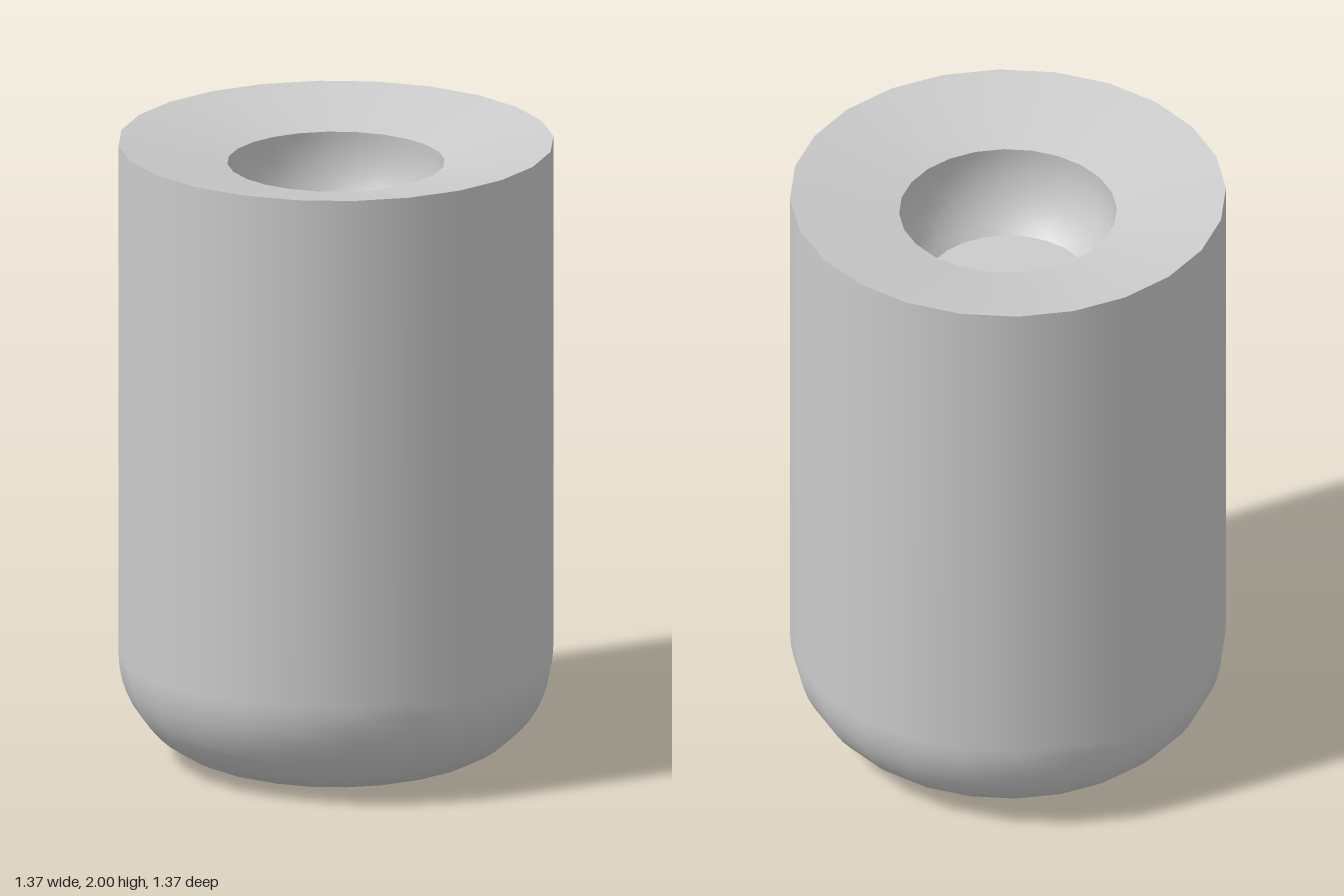
import * as THREE from 'three';

const SIDES = 24;
const RADIUS = 0.685;
const SEAM_Y = 1.66;   // joint between body and cap
const RIM_Y = 1.932;   // inner edge of the dished top

// Points along a circular arc in profile space (x = radius, y = height)
function arc(cx, cy, r, from, to, steps) {
  return Array.from({ length: steps + 1 }, (_, i) => {
    const a = from + (to - from) * i / steps;
    return new THREE.Vector2(cx + r * Math.cos(a), cy + r * Math.sin(a));
  });
}

export function createModel() {
  const model = new THREE.Group();
  const material = new THREE.MeshStandardMaterial({ color: 0xcccccc });
  const v = (x, y) => new THREE.Vector2(x, y);

  function turned(name, points, parent) {
    const mesh = new THREE.Mesh(new THREE.LatheGeometry(points, SIDES), material);
    mesh.name = name;
    parent.add(mesh);
  }

  // Body: flat base, large rounded lower edge, straight wall
  const body = new THREE.Group();
  body.name = 'body';
  const fillet = 0.343;
  turned('base', [v(0, 0), v(RADIUS - fillet, 0)], body);
  turned('bodyWall', [
    ...arc(RADIUS - fillet, fillet, fillet, -Math.PI / 2, 0, 12),
    v(RADIUS, SEAM_Y),
  ], body);
  turned('socketFloor', [v(0.26, SEAM_Y), v(0, SEAM_Y)], body);
  model.add(body);

  // Cap: outer band, shallow dished top and a ball-shaped socket
  const cap = new THREE.Group();
  cap.name = 'cap';
  const ball = 0.345;
  const ballY = SEAM_Y + Math.sqrt(ball * ball - 0.26 * 0.26);
  const rimAngle = Math.asin((RIM_Y - ballY) / ball);
  const floorAngle = Math.asin((SEAM_Y - ballY) / ball);
  const socket = arc(0, ballY, ball, rimAngle, floorAngle, 10);
  turned('capBand', [v(RADIUS, SEAM_Y), v(RADIUS, 2)], cap);
  turned('dishedTop', [v(RADIUS, 2), socket[0].clone()], cap);
  turned('socketWall', socket, cap);
  model.add(cap);

  return model;
}
